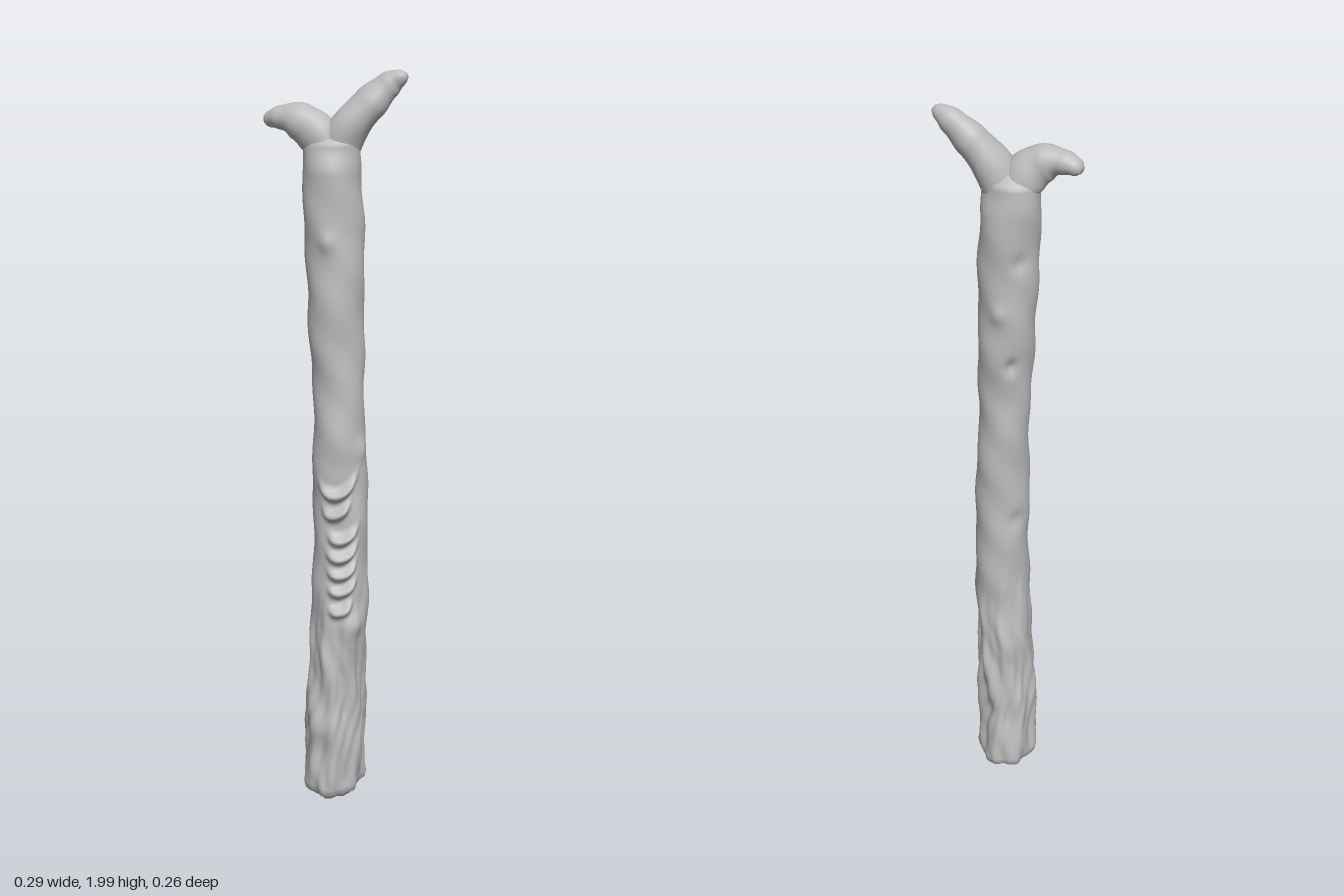
import * as THREE from 'three';

// closed skin over rings of points; point(i, j) gives a Vector3, ends are capped
function loft(rings, sides, point) {
  const pos = [], idx = [];
  for (let i = 0; i <= rings; i++)
    for (let j = 0; j < sides; j++) pos.push(...point(i / rings, (j / sides) * Math.PI * 2).toArray());
  for (let i = 0; i < rings; i++)
    for (let j = 0; j < sides; j++) {
      const k = (j + 1) % sides;
      const a = i * sides + j, b = i * sides + k, c = a + sides, d = b + sides;
      idx.push(a, c, b, b, c, d);
    }
  for (const end of [0, 1]) {
    const mid = new THREE.Vector3(), base = end * rings * sides;
    for (let j = 0; j < sides; j++) mid.add(new THREE.Vector3().fromArray(pos, (base + j) * 3));
    const centre = pos.length / 3;
    pos.push(...mid.divideScalar(sides).toArray());
    for (let j = 0; j < sides; j++) {
      const a = base + j, b = base + ((j + 1) % sides);
      if (end) idx.push(centre, b, a); else idx.push(centre, a, b);
    }
  }
  const g = new THREE.BufferGeometry();
  g.setAttribute('position', new THREE.Float32BufferAttribute(pos, 3));
  g.setIndex(idx);
  g.computeVertexNormals();
  return g;
}

// smooth lookup in rows sorted by their first column
function sample(rows, y) {
  let n = 0;
  while (n < rows.length - 2 && y > rows[n + 1][0]) n++;
  const a = rows[n], b = rows[n + 1];
  const t = THREE.MathUtils.smoothstep(y, a[0], b[0]);
  return a.map((v, i) => THREE.MathUtils.lerp(v, b[i], t));
}

const bump = (d, w) => Math.exp(-(d * d) / (w * w));
const wrap = (a) => Math.atan2(Math.sin(a), Math.cos(a));

// trunk sections: height, centre x, centre z, radius along the x=z diagonal, radius across it
const SECTIONS = [
  [0.01, 0.022, 0.018, 0.088, 0.062],
  [0.035, 0.022, 0.018, 0.116, 0.084],
  [0.2, 0.027, 0.017, 0.106, 0.081],
  [0.4, 0.032, 0.014, 0.092, 0.076],
  [0.6, 0.042, 0.012, 0.083, 0.075],
  [0.8, 0.043, 0.011, 0.079, 0.074],
  [1.0, 0.038, 0.011, 0.074, 0.071],
  [1.2, 0.03, 0.01, 0.068, 0.067],
  [1.4, 0.019, 0.01, 0.075, 0.075],
  [1.6, 0.012, 0.01, 0.075, 0.076],
  [1.74, 0.004, 0.012, 0.074, 0.077],
  [1.81, 0.0, 0.012, 0.064, 0.074],
  [1.85, 0.0, 0.012, 0.03, 0.045],
];

// small knots: height, angle from the x=z diagonal, depth, size
const KNOTS = [
  [1.57, 0.1, 0.008, 0.025], [1.33, 2.8, -0.012, 0.022], [1.48, 3.3, 0.008, 0.025],
  [1.62, 2.6, -0.008, 0.025], [1.02, -1.2, 0.008, 0.03], [0.85, 2.4, -0.008, 0.03],
  [0.53, -0.8, 0.013, 0.035], [0.2, -2.6, -0.01, 0.04], [0.22, 0.3, 0.01, 0.05],
];

// carved ridges: height, angle, half width
const CARVINGS = [
  [0.9, -0.1, 0.65], [0.845, 0.0, 0.5], [0.775, -0.25, 0.5], [0.725, -0.25, 0.52],
  [0.675, -0.25, 0.5], [0.625, -0.25, 0.48], [0.57, -0.2, 0.4],
];

function relief(y, a) {
  const low = 1 - THREE.MathUtils.smoothstep(y, 0.35, 0.75);
  // bark furrows towards the foot, gentle swellings above
  let h = low * 0.005 * Math.sin(7 * a + 2.2 * Math.sin(y * 9) + 1);
  h += low * 0.003 * Math.sin(13 * a - 3 * Math.sin(y * 14)) * Math.sin(y * 23 + 3 * a);
  h += 0.0022 * Math.sin(y * 19 + 2 * a) + 0.0015 * Math.sin(y * 37 - 3 * a);
  for (const [ky, ka, depth, size] of KNOTS) h += depth * bump(y - ky, size) * bump(wrap(a - ka), size * 11);
  // sunken panel with sagging ridges
  const panel = bump(wrap(a + 0.2), 0.62) * THREE.MathUtils.smoothstep(y, 0.52, 0.6)
    * (1 - THREE.MathUtils.smoothstep(y, 0.88, 0.96));
  h -= 0.01 * panel;
  for (const [cy, ca, w] of CARVINGS) {
    const d = wrap(a - ca);
    h += 0.024 * bump(y - cy - 0.07 * d * d + 0.02 * d, 0.015) * Math.exp(-((d / w) ** 4));
  }
  return h;
}

function trunkPoint(t, angle) {
  const y = 0.01 + 1.84 * t;
  const [, cx, cz, ra, rb] = sample(SECTIONS, y);
  const h = relief(y, wrap(angle));
  const u = (ra + h) * Math.cos(angle), v = (rb + h) * Math.sin(angle);
  const s = Math.SQRT1_2;
  const sag = y < 0.03 ? -0.01 : 0;
  return new THREE.Vector3(cx + s * (u - v), Math.max(0, y + sag), cz + s * (u + v));
}

// tapering branch along a curve with radii listed evenly along it
function branch(points, radii) {
  const curve = new THREE.CatmullRomCurve3(points.map((p) => new THREE.Vector3(...p)));
  const rings = 32;
  const frames = curve.computeFrenetFrames(rings, false);
  const rows = radii.map(([t, r]) => [t, r]);
  return loft(rings, 28, (t, a) => {
    const i = Math.round(t * rings);
    const r = sample(rows, t)[1] * (1 + 0.05 * Math.sin(2 * a + 7 * t));
    return curve.getPointAt(t)
      .addScaledVector(frames.normals[i], r * Math.cos(-a))
      .addScaledVector(frames.binormals[i], r * Math.sin(-a));
  });
}

export function createModel() {
  const wood = new THREE.MeshStandardMaterial({ color: 0xbcbcbc });
  wood.name = 'plain grey';
  const model = new THREE.Group();
  model.name = 'forkedStaff';
  const add = (name, geometry) => {
    const mesh = new THREE.Mesh(geometry, wood);
    mesh.name = name;
    model.add(mesh);
  };

  add('trunk', loft(300, 96, trunkPoint));
  add('tallFork', branch(
    [[0.005, 1.76, 0.01], [0.035, 1.85, -0.02], [0.075, 1.92, -0.065], [0.11, 1.965, -0.1], [0.143, 1.982, -0.116]],
    [[0, 0.05], [0.3, 0.052], [0.6, 0.045], [0.82, 0.032], [0.95, 0.02], [1, 0.008]],
  ));
  add('shortFork', branch(
    [[0.0, 1.77, 0.01], [-0.025, 1.835, 0.04], [-0.062, 1.868, 0.074], [-0.1, 1.872, 0.096], [-0.143, 1.862, 0.114]],
    [[0, 0.05], [0.3, 0.054], [0.55, 0.046], [0.78, 0.032], [0.95, 0.022], [1, 0.01]],
  ));
  return model;
}
